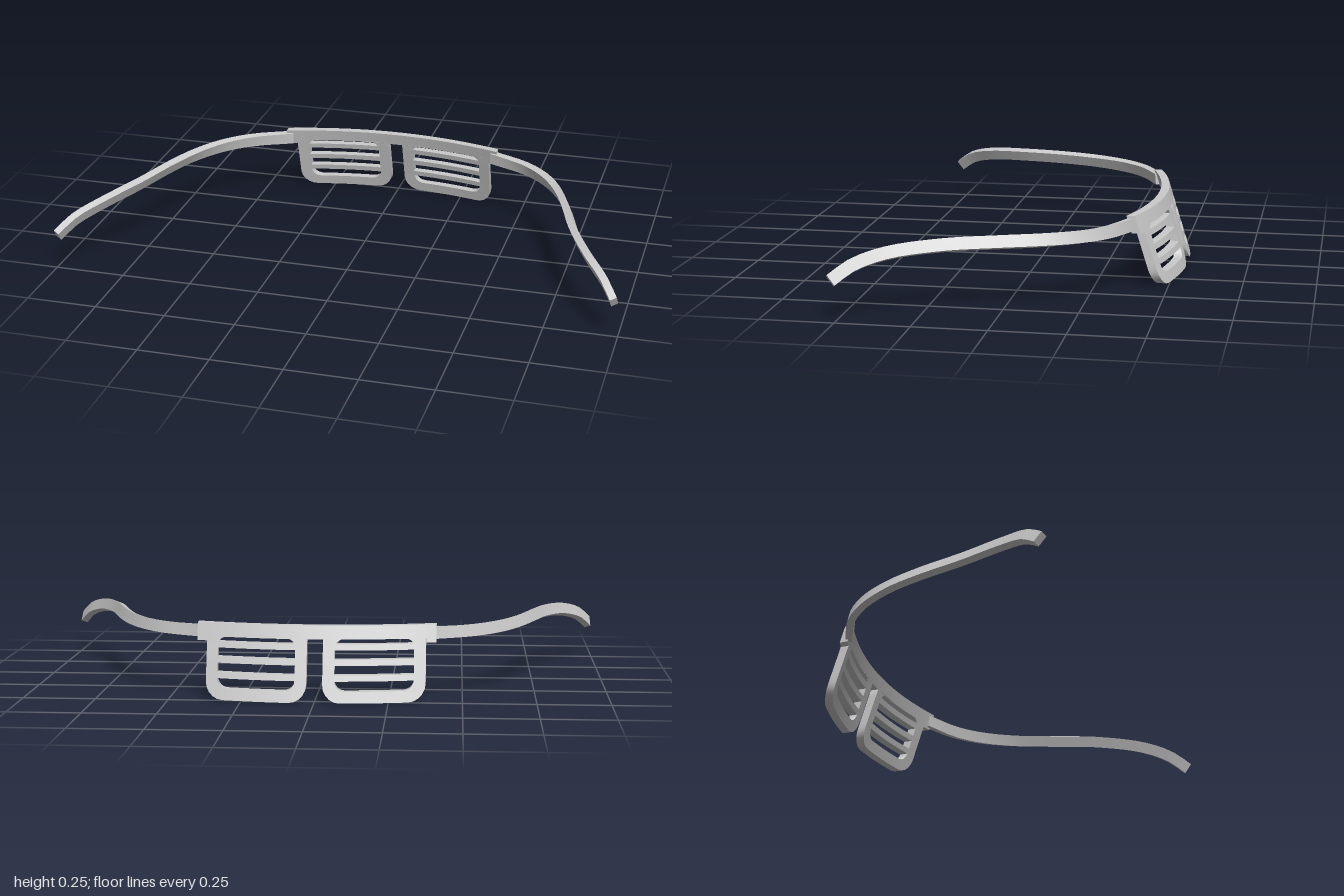
import * as THREE from 'three';
import { toCreasedNormals } from 'three/addons/utils/BufferGeometryUtils.js';

const material = new THREE.MeshStandardMaterial({ color: 0xcccccc });
const DEPTH = 0.03;

// The front is a curved, tilted sheet: the z of its outer face at (x, y)
const faceZ = (x, y) => -0.455 - 0.316 * (0.257 - y) + 0.39 * x * x;
const onFace = (x, y, inset = 0) => new THREE.Vector3(x, y, faceZ(x, y) + inset);

// Four-cornered section through the sheet between two points of its outline
const sheetSection = ([ax, ay], [bx, by]) => [
  onFace(ax, ay), onFace(bx, by), onFace(bx, by, DEPTH), onFace(ax, ay, DEPTH),
];

// Solid through a row of four-cornered sections, capped unless closed
function loft(name, sections, closed = false) {
  const pos = [];
  const quad = (a, b, c, d) => [a, b, c, a, c, d].forEach((p) => pos.push(p.x, p.y, p.z));
  const count = sections.length;
  for (let i = 0; i < (closed ? count : count - 1); i++) {
    const s = sections[i], t = sections[(i + 1) % count];
    for (let k = 0; k < 4; k++) quad(s[k], s[(k + 1) % 4], t[(k + 1) % 4], t[k]);
  }
  if (!closed) {
    quad(...[...sections[0]].reverse());
    quad(...sections[count - 1]);
  }
  // Turn the faces outward if the signed volume is negative
  let volume = 0;
  const a = new THREE.Vector3(), b = new THREE.Vector3(), c = new THREE.Vector3();
  for (let i = 0; i < pos.length; i += 9) {
    a.fromArray(pos, i); b.fromArray(pos, i + 3); c.fromArray(pos, i + 6);
    volume += a.dot(b.cross(c));
  }
  if (volume < 0) {
    for (let i = 0; i < pos.length; i += 9) {
      for (let k = 3; k < 6; k++) [pos[i + k], pos[i + k + 3]] = [pos[i + k + 3], pos[i + k]];
    }
  }
  const geometry = new THREE.BufferGeometry();
  geometry.setAttribute('position', new THREE.Float32BufferAttribute(pos, 3));
  const mesh = new THREE.Mesh(toCreasedNormals(geometry, 0.6), material);
  mesh.name = name;
  return mesh;
}

// Rounded rectangle outline with evenly divided edges
function roundedOutline(x0, x1, y0, y1, rBottom, rTop) {
  const corners = [
    [x1 - rBottom, y0 + rBottom, rBottom, -0.5], [x1 - rTop, y1 - rTop, rTop, 0],
    [x0 + rTop, y1 - rTop, rTop, 0.5], [x0 + rBottom, y0 + rBottom, rBottom, 1],
  ];
  const arcs = corners.map(([cx, cy, r, start]) => Array.from({ length: 6 }, (_, i) => {
    const angle = (start + i / 10) * Math.PI;
    return [cx + r * Math.cos(angle), cy + r * Math.sin(angle)];
  }));
  const points = [];
  arcs.forEach((arc, i) => {
    points.push(...arc);
    const from = arc[5], to = arcs[(i + 1) % 4][0];
    for (let k = 1; k < 6; k++) {
      points.push([from[0] + (to[0] - from[0]) * k / 6, from[1] + (to[1] - from[1]) * k / 6]);
    }
  });
  return points;
}

// Brow bar with slightly deeper ends
function browBar() {
  const xs = [-0.41, -0.376];
  for (let i = 0; i <= 20; i++) xs.push(-0.375 + 0.0375 * i);
  xs.push(0.376, 0.41);
  return loft('browBar', xs.map((x) => sheetSection([x, Math.abs(x) > 0.3755 ? 0.197 : 0.212], [x, 0.257])));
}

// Rim and three slats of one shutter lens
function shutterLens(side, name) {
  const group = new THREE.Group();
  group.name = name;
  const flip = ([x, y]) => [side * x, y];
  const outer = roundedOutline(0.027, 0.375, 0.004, 0.216, 0.06, 0.003).map(flip);
  const inner = roundedOutline(0.067, 0.335, 0.042, 0.213, 0.035, 0.03).map(flip);
  group.add(loft('rim', outer.map((p, i) => sheetSection(p, inner[i])), true));
  for (const y of [0.085, 0.136, 0.186]) {
    const sections = Array.from({ length: 9 }, (_, i) => {
      const x = side * (0.06 + 0.035 * i);
      return sheetSection([x, y - 0.01], [x, y + 0.01]);
    });
    group.add(loft('slat', sections));
  }
  return group;
}

// Bowed temple arm, twisting outward and curling down at the tip
function templeArm(side, name) {
  const path = new THREE.CatmullRomCurve3([
    [0.39, 0.225, -0.379], [0.53, 0.225, -0.31], [0.62, 0.226, -0.225], [0.69, 0.227, -0.11],
    [0.74, 0.227, 0.02], [0.795, 0.223, 0.19], [0.875, 0.208, 0.36],
    [0.94, 0.18, 0.455], [0.983, 0.138, 0.514],
  ].map((p) => new THREE.Vector3(...p)));
  const steps = 28;
  const sections = Array.from({ length: steps + 1 }, (_, i) => {
    const t = i / steps;
    const centre = path.getPointAt(t), tangent = path.getTangentAt(t);
    const out = new THREE.Vector3().crossVectors(new THREE.Vector3(0, 1, 0), tangent).normalize();
    const up = new THREE.Vector3().crossVectors(tangent, out);
    const twist = Math.min(0.42, 0.1 + t * 0.8);
    out.applyAxisAngle(tangent, 0);
    if (out.x < 0) out.negate();
    const wide = out.clone().multiplyScalar(Math.cos(twist)).addScaledVector(up, Math.sin(twist));
    const tall = up.clone().multiplyScalar(Math.cos(twist)).addScaledVector(out, -Math.sin(twist));
    return [[-1, -1], [1, -1], [1, 1], [-1, 1]].map(([w, h]) => {
      const p = centre.clone().addScaledVector(wide, w * 0.0125).addScaledVector(tall, h * 0.021);
      p.x *= side;
      return p;
    });
  });
  return loft(name, sections);
}

export function createModel() {
  const model = new THREE.Group();
  model.name = 'shutterGlasses';
  model.add(
    browBar(),
    shutterLens(1, 'leftLens'), shutterLens(-1, 'rightLens'),
    templeArm(1, 'leftArm'), templeArm(-1, 'rightArm'),
  );
  return model;
}
